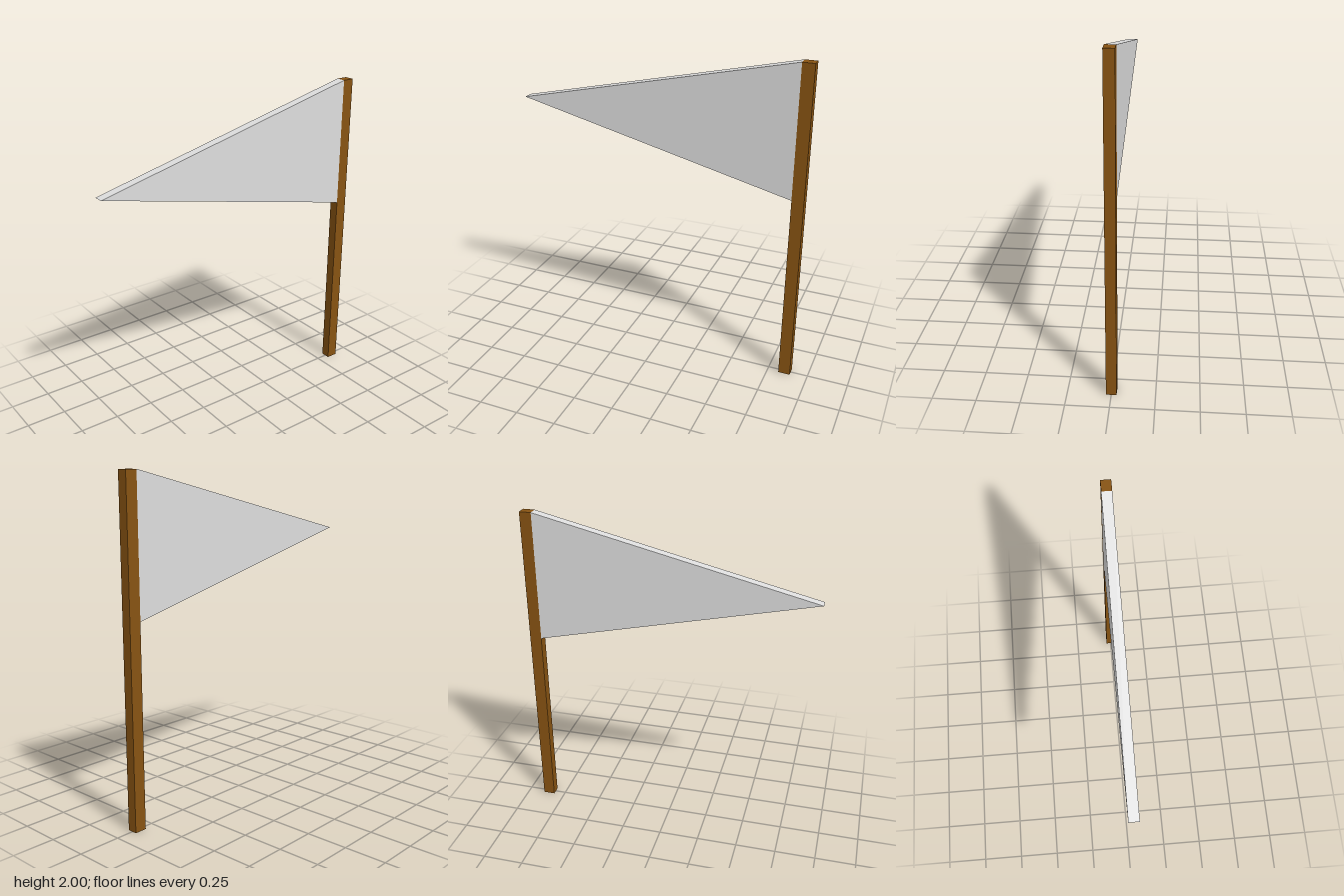
import * as THREE from 'three';

export function createModel() {
  const wood = new THREE.MeshStandardMaterial({ color: 0x875312 });
  wood.name = 'brown wood';
  const cloth = new THREE.MeshStandardMaterial({ color: 0xdddddd });
  cloth.name = 'pale cloth';

  const width = 0.06;
  const back = -0.893;
  const seam = -0.82; // where the pennant meets the pole
  const tip = 0.893;

  const model = new THREE.Group();
  model.name = 'pennantFlag';

  // Square pole
  const pole = new THREE.Mesh(new THREE.BoxGeometry(width, 2, seam - back), wood);
  pole.name = 'pole';
  pole.position.set(0, 1, (back + seam) / 2);
  model.add(pole);

  // Triangular pennant, drawn in (-z, y) and turned to point forward
  const outline = new THREE.Shape([
    new THREE.Vector2(-seam, 1.195),
    new THREE.Vector2(-seam, 2),
    new THREE.Vector2(-tip, 1.6),
  ]);
  const pennantGeometry = new THREE.ExtrudeGeometry(outline, { depth: width, bevelEnabled: false });
  pennantGeometry.translate(0, 0, -width / 2);
  pennantGeometry.rotateY(Math.PI / 2);
  const pennant = new THREE.Mesh(pennantGeometry, cloth);
  pennant.name = 'pennant';
  model.add(pennant);

  return model;
}
